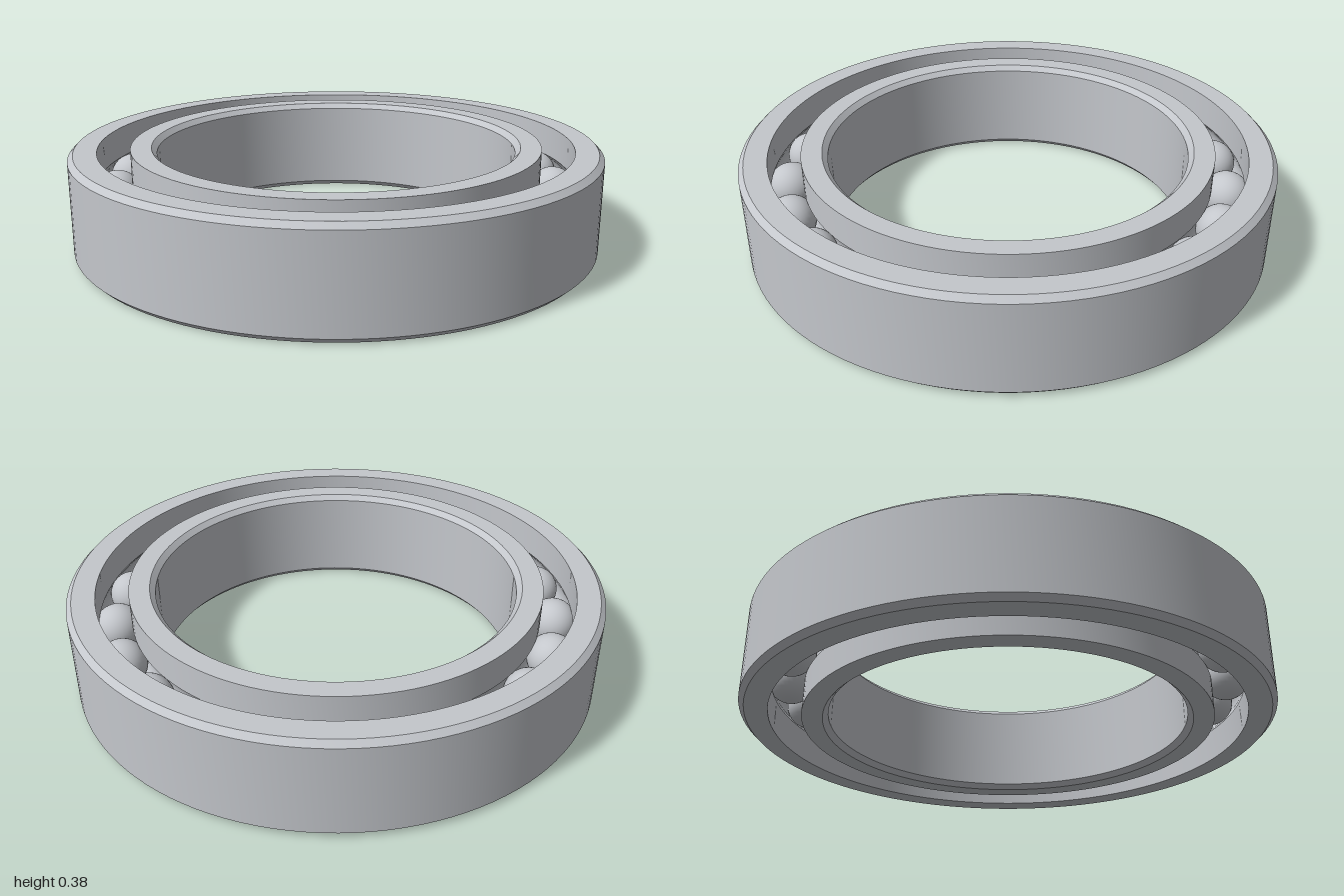
import * as THREE from 'three';
import { toCreasedNormals } from 'three/addons/utils/BufferGeometryUtils.js';

const H = 0.38;            // bearing height
const PITCH = 0.835;       // radius of the circle of balls
const BALL_R = 0.09;
const BALLS = 21;
const CHAMFER = 0.02;
const OUTER_R = 1, OUTER_RACE = 0.895;
const INNER_RACE = 0.775, BORE_R = 0.678;

// Groove arc points at a given race radius, from the bottom edge to the top edge
function groove(race) {
  const r = BALL_R + 0.002, d = race - PITCH;
  const half = Math.acos(Math.abs(d) / r), side = Math.sign(d), pts = [];
  for (let i = 0; i <= 12; i++) {
    const a = -half + (2 * half * i) / 12;
    pts.push([PITCH + side * r * Math.cos(a), H / 2 + r * Math.sin(a)]);
  }
  return pts;
}

// Revolve a closed profile (counter-clockwise in radius, height)
function ring(profile, material, name) {
  const pts = [...profile, profile[0]].map(([r, y]) => new THREE.Vector2(r, y));
  const mesh = new THREE.Mesh(toCreasedNormals(new THREE.LatheGeometry(pts, 120), 0.5), material);
  mesh.name = name;
  return mesh;
}

export function createModel() {
  const steel = new THREE.MeshStandardMaterial({ color: 0xc4c7cc });
  steel.name = 'steel';
  const group = new THREE.Group();
  group.name = 'ballBearing';

  // Outer ring: chamfered outside, grooved inside
  group.add(ring([
    [OUTER_R - CHAMFER, 0], [OUTER_R, CHAMFER], [OUTER_R, H - CHAMFER], [OUTER_R - CHAMFER, H],
    [OUTER_RACE, H], ...groove(OUTER_RACE).reverse(), [OUTER_RACE, 0],
  ], steel, 'outerRing'));

  // Inner ring: grooved outside, chamfered bore
  group.add(ring([
    [INNER_RACE, 0], ...groove(INNER_RACE), [INNER_RACE, H],
    [BORE_R + CHAMFER, H], [BORE_R, H - CHAMFER], [BORE_R, CHAMFER], [BORE_R + CHAMFER, 0],
  ], steel, 'innerRing'));

  // Balls, the first on the +x axis
  const balls = new THREE.Group();
  balls.name = 'balls';
  const ballGeometry = new THREE.SphereGeometry(BALL_R, 32, 20);
  for (let i = 0; i < BALLS; i++) {
    const a = (i / BALLS) * Math.PI * 2;
    const ball = new THREE.Mesh(ballGeometry, steel);
    ball.name = 'ball';
    ball.position.set(PITCH * Math.cos(a), H / 2, PITCH * Math.sin(a));
    balls.add(ball);
  }
  group.add(balls);
  return group;
}
